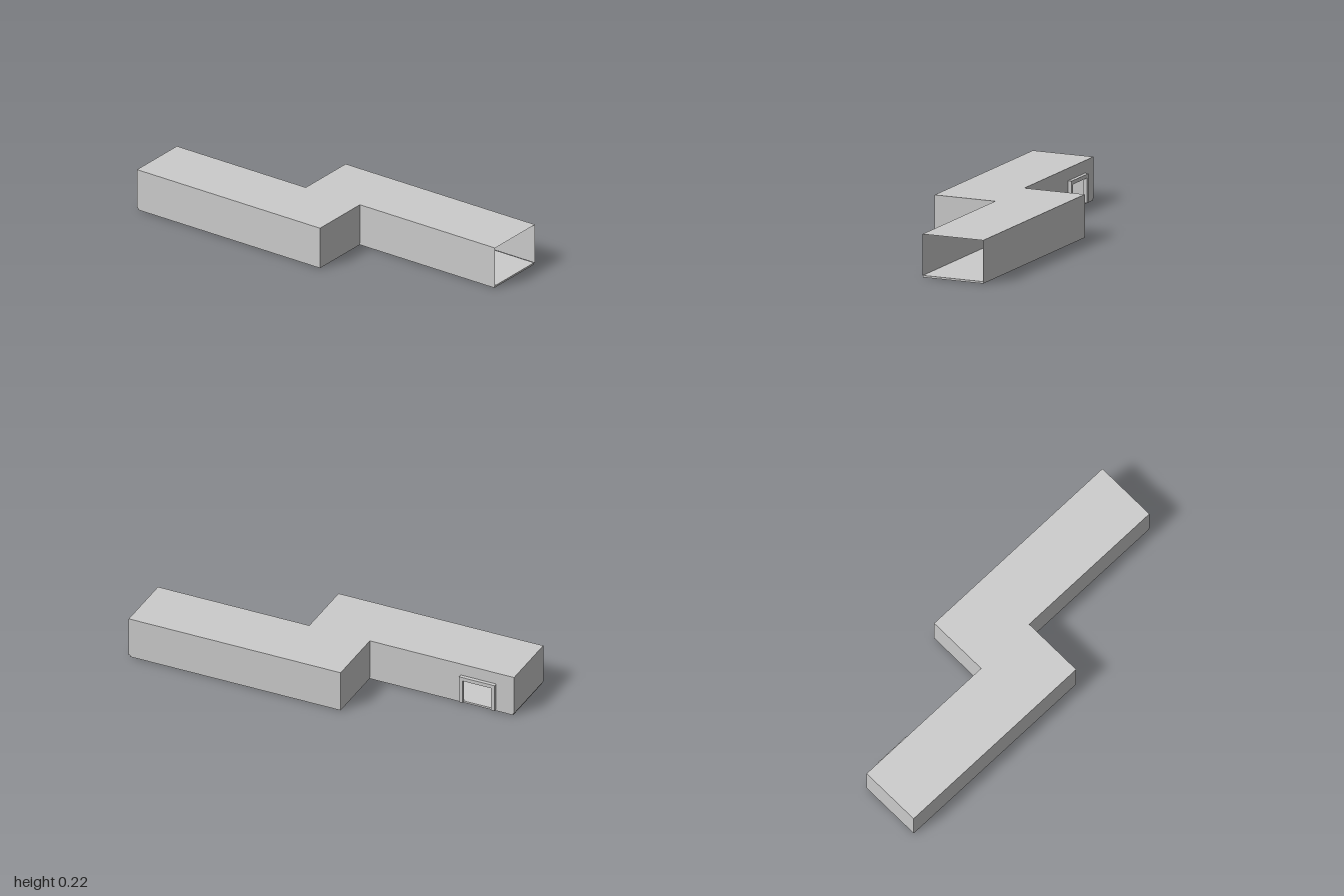
import * as THREE from 'three';

const FLOOR = 0.01, TOP = 0.225;
// plan outline of the Z-shaped corridor as [x, z]
const PLAN = [[-1, 0], [-0.19, 0], [-0.19, -0.34], [1, -0.34], [1, 0], [0.15, 0], [0.15, 0.34], [-1, 0.34]];
const OPEN_END = 3;   // the edge at x = 1 has no wall
const DOOR_WALL = 0;  // the back wall with the doorway
const DOOR = { from: 0.12, to: 0.28, top: 0.14 };

const grey = new THREE.MeshStandardMaterial({ color: 0xcccccc, flatShading: true, side: THREE.DoubleSide });

const polygon = (points) => new THREE.Shape(points.map(([x, y]) => new THREE.Vector2(x, y)));

function add(group, name, geometry) {
  const mesh = new THREE.Mesh(geometry, grey);
  mesh.name = name;
  group.add(mesh);
  return mesh;
}

export function createModel() {
  const model = new THREE.Group();
  model.name = 'corridor';

  // floor slab, set in slightly from the walls
  const slab = new THREE.ExtrudeGeometry(polygon(PLAN), { depth: FLOOR, bevelEnabled: false });
  slab.rotateX(Math.PI / 2).scale(0.995, 1, 0.995);
  add(model, 'floor', slab).position.y = FLOOR;

  // thin flat ceiling
  add(model, 'ceiling', new THREE.ShapeGeometry(polygon(PLAN)).rotateX(Math.PI / 2)).position.y = TOP;

  // thin walls along the outline
  const walls = new THREE.Group();
  walls.name = 'walls';
  model.add(walls);
  PLAN.forEach(([x, z], i) => {
    if (i === OPEN_END) return;
    const [x2, z2] = PLAN[(i + 1) % PLAN.length];
    const length = Math.hypot(x2 - x, z2 - z);
    const notch = i === DOOR_WALL
      ? [[DOOR.from, FLOOR], [DOOR.from, DOOR.top], [DOOR.to, DOOR.top], [DOOR.to, FLOOR]] : [];
    const face = polygon([[0, FLOOR], ...notch, [length, FLOOR], [length, TOP], [0, TOP]]);
    const wall = add(walls, i === DOOR_WALL ? 'doorWall' : 'wall', new THREE.ShapeGeometry(face));
    wall.position.set(x, 0, z);
    wall.rotation.y = -Math.atan2(z2 - z, x2 - x);
  });

  // door frame standing out from the back wall
  const t = 0.02, a = DOOR.from - 1, b = DOOR.to - 1;
  const arch = polygon([
    [a - t, FLOOR], [a, FLOOR], [a, DOOR.top], [b, DOOR.top], [b, FLOOR],
    [b + t, FLOOR], [b + t, DOOR.top + t], [a - t, DOOR.top + t],
  ]);
  const frame = new THREE.ExtrudeGeometry(arch, { depth: t, bevelEnabled: false });
  add(model, 'doorFrame', frame).position.z = -t;

  return model;
}
